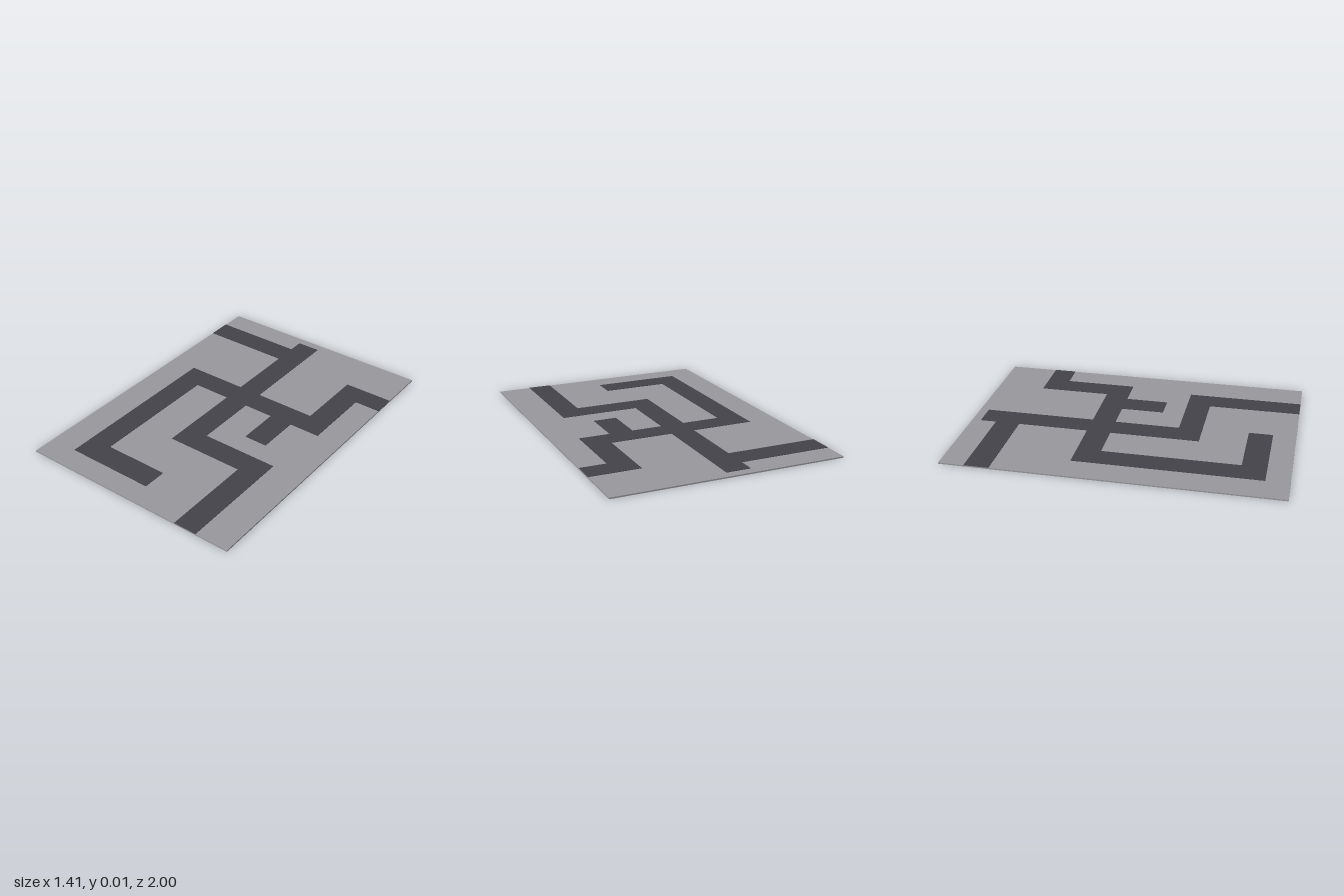
import * as THREE from 'three';

const SLAB_HEIGHT = 0.008;
const PATH_HEIGHT = 0.002;

// Path sections on the ground: [xMin, xMax, zMin, zMax], meeting edge to edge
const SECTIONS = {
  backLeftBranch: [-0.705, -0.14, -0.845, -0.695],
  mainRunBack: [-0.14, 0.008, -0.945, -0.26],
  crossRun: [-0.527, 0.542, -0.26, -0.115],
  rightRun: [0.395, 0.542, -0.70, -0.26],
  rightExit: [0.542, 0.705, -0.70, -0.56],
  shortSpur: [0.20, 0.347, -0.115, 0.15],
  mainRunFront: [-0.14, 0.008, -0.115, 0.43],
  frontCrossRun: [0.008, 0.497, 0.285, 0.43],
  frontExit: [0.352, 0.497, 0.43, 1],
  leftRun: [-0.527, -0.38, -0.115, 0.86],
  frontLeftHook: [-0.38, 0.03, 0.713, 0.86],
};

export function createModel() {
  const group = new THREE.Group();
  group.name = 'floorPlanTile';

  const slabGrey = new THREE.MeshStandardMaterial({ color: 0x99999d });
  slabGrey.name = 'slabGrey';
  const pathCharcoal = new THREE.MeshStandardMaterial({ color: 0x44434a });
  pathCharcoal.name = 'pathCharcoal';

  // Adds a box standing on height y over the given ground rectangle
  const addPlate = (parent, name, [x0, x1, z0, z1], y, height, material) => {
    const mesh = new THREE.Mesh(new THREE.BoxGeometry(x1 - x0, height, z1 - z0), material);
    mesh.position.set((x0 + x1) / 2, y + height / 2, (z0 + z1) / 2);
    mesh.name = name;
    parent.add(mesh);
  };

  // Thin ground slab
  addPlate(group, 'groundSlab', [-0.705, 0.705, -1, 1], 0, SLAB_HEIGHT, slabGrey);

  // Branching path laid on the slab
  const path = new THREE.Group();
  path.name = 'path';
  for (const [name, rect] of Object.entries(SECTIONS)) {
    addPlate(path, name, rect, SLAB_HEIGHT, PATH_HEIGHT, pathCharcoal);
  }
  group.add(path);

  return group;
}
